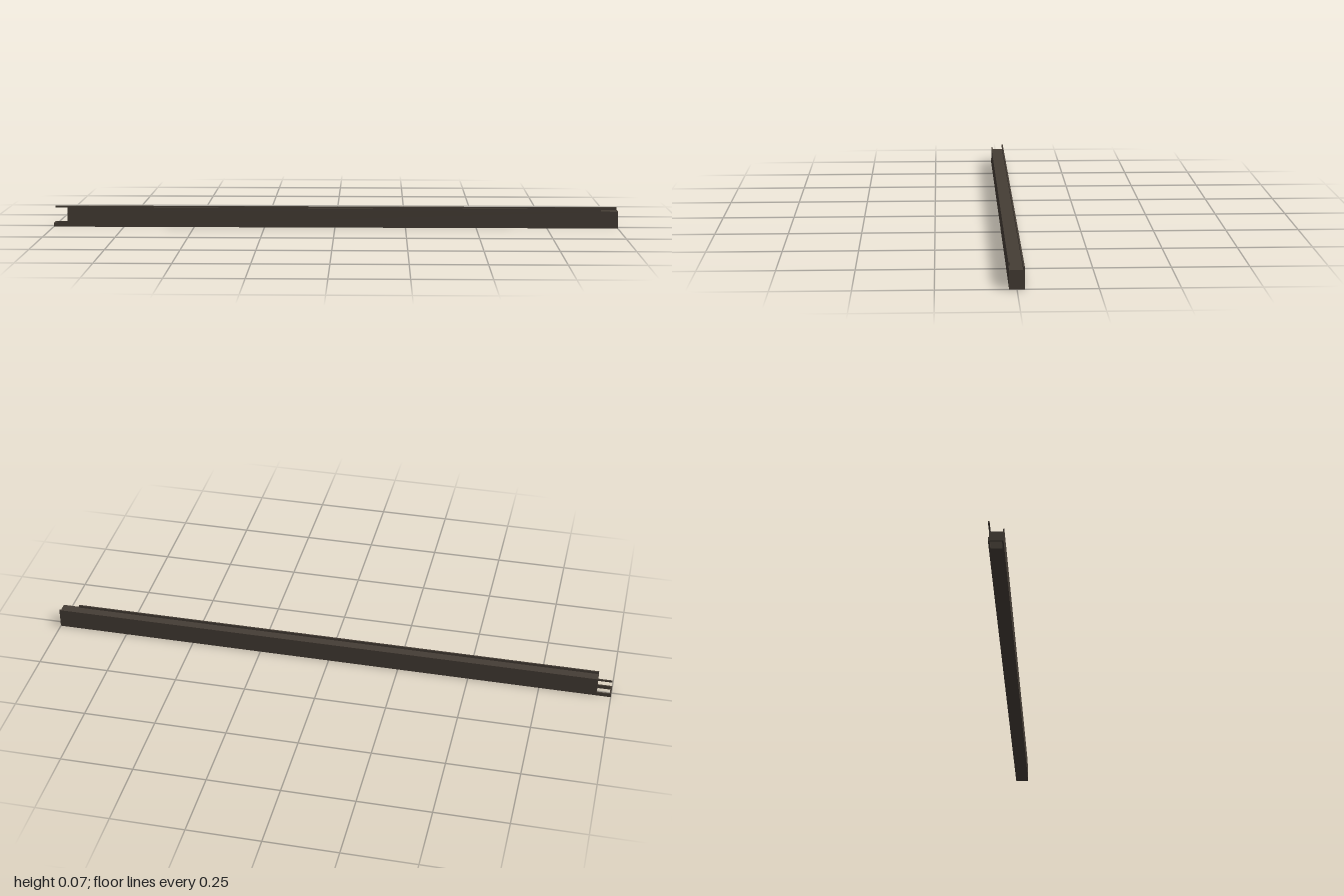
import * as THREE from 'three';

export function createModel() {
  const group = new THREE.Group();
  const darkBrown = new THREE.MeshStandardMaterial({ color: 0x453d35 });
  darkBrown.name = 'darkBrown';

  // Box given by its lower and upper limits on each axis
  const box = (name, [x0, x1], [y0, y1], [z0, z1]) => {
    const mesh = new THREE.Mesh(new THREE.BoxGeometry(x1 - x0, y1 - y0, z1 - z0), darkBrown);
    mesh.position.set((x0 + x1) / 2, (y0 + y1) / 2, (z0 + z1) / 2);
    mesh.name = name;
    group.add(mesh);
  };

  const half = 0.024, wall = 0.005, bodyTop = 0.06, top = 0.069, bodyEnd = -0.95;

  // Long beam
  box('beam', [bodyEnd, 1], [0, bodyTop], [-half, half]);

  // Raised lips along the top edges; the front one stops short
  box('frontLip', [bodyEnd, 0.94], [bodyTop, top], [half - wall, half]);
  box('backLip', [bodyEnd, 1], [bodyTop, top], [-half, -half + wall]);
  box('backLipTongue', [-1, bodyEnd], [0.063, top], [-half, -half + wall]);

  // Open bracket at the foot of the right end
  const bracket = [0, 0.013];
  box('bracketFrontRail', [-1, bodyEnd], bracket, [half - wall, half]);
  box('bracketBackRail', [-1, bodyEnd], bracket, [-half, -half + wall]);
  box('bracketEnd', [-1, -1 + wall], bracket, [-half + wall, half - wall]);

  return group;
}
